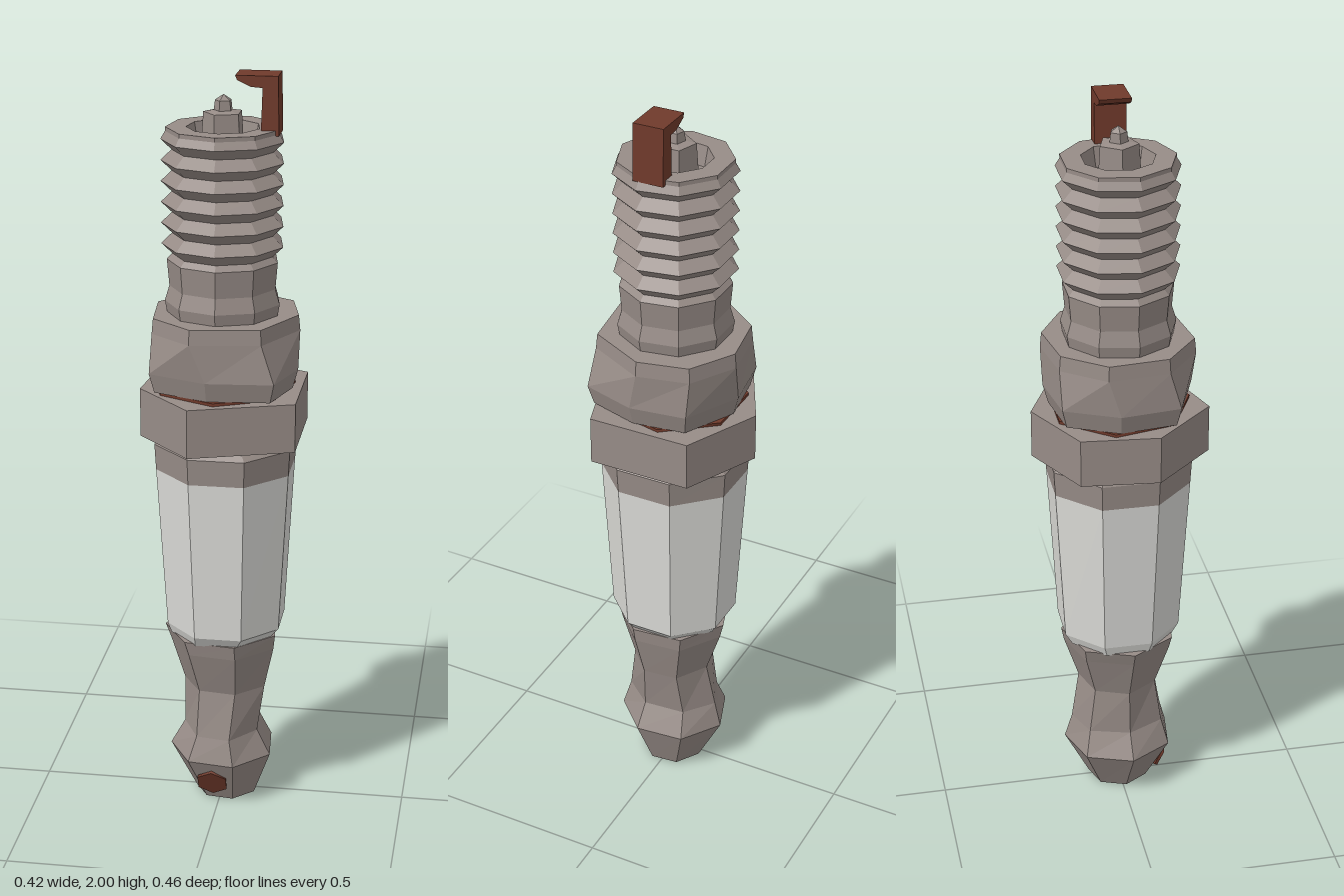
import * as THREE from 'three';

const metal = new THREE.MeshStandardMaterial({ color: 0x978c87 });
const ceramic = new THREE.MeshStandardMaterial({ color: 0xdcdcd8 });
const rust = new THREE.MeshStandardMaterial({ color: 0x703a2b });
metal.name = 'steel';
ceramic.name = 'ceramic';
rust.name = 'rust';

// Faceted skin over rings of [x, y, z] points, each running from +x towards +z
function skin(name, rings, material) {
  const pos = [];
  for (let j = 0; j < rings.length - 1; j++) {
    const lo = rings[j], hi = rings[j + 1], n = lo.length;
    for (let i = 0; i < n; i++) {
      const k = (i + 1) % n;
      pos.push(...lo[i], ...hi[i], ...lo[k], ...lo[k], ...hi[i], ...hi[k]);
    }
  }
  const geo = new THREE.BufferGeometry();
  geo.setAttribute('position', new THREE.Float32BufferAttribute(pos, 3));
  geo.computeVertexNormals();
  const mesh = new THREE.Mesh(geo, material);
  mesh.name = name;
  return mesh;
}

// One polygon ring: height, radii, centre and turn in degrees
function ring(n, y, rx, rz = rx, cx = 0, cz = 0, turn = 0) {
  return Array.from({ length: n }, (_, i) => {
    const a = (i / n) * Math.PI * 2 + (turn * Math.PI) / 180;
    return [cx + rx * Math.cos(a), y, cz + rz * Math.sin(a)];
  });
}

const lathe = (name, n, turn, rows, material) =>
  skin(name, rows.map(([y, rx, rz, cx, cz]) => ring(n, y, rx, rz, cx, cz, turn)), material);

// Capped prism from an outline that may change between heights
function prism(name, levels, material) {
  const rings = levels.map(([y, outline, s]) => outline.map(([x, z]) => [x * s, y, z * s]));
  const close = (r) => r.map((p) => [0, p[1], 0]);
  return skin(name, [close(rings[0]), ...rings, close(rings[rings.length - 1])], material);
}

export function createModel() {
  const group = new THREE.Group();

  // Terminal bulb and neck
  group.add(lathe('terminal', 7, 20, [
    [0, 0, 0], [0, 0.085, 0.085, 0.01, 0], [0.13, 0.145, 0.152], [0.2, 0.106, 0.132],
    [0.33, 0.115, 0.11, 0.01], [0.45, 0.148, 0.15, 0.005], [0.49, 0.158, 0.158], [0.49, 0, 0],
  ], metal));

  // Rust on the terminal: a thin spot underneath and a patch at the front
  const spot = new THREE.Mesh(new THREE.CylinderGeometry(0.05, 0.05, 0.004, 7), rust);
  spot.name = 'terminalRustSpot';
  spot.position.set(0.01, 0.001, 0);
  const patch = new THREE.Mesh(new THREE.CylinderGeometry(0.045, 0.045, 0.008, 6), rust);
  patch.name = 'terminalRustPatch';
  patch.position.set(-0.015, 0.062, 0.108);
  patch.rotation.x = Math.PI / 2 + 0.45;
  group.add(spot, patch);

  // Ceramic insulator with its metal collar
  group.add(lathe('insulator', 8, 22.5, [
    [0.485, 0, 0], [0.485, 0.145, 0.15], [0.515, 0.163, 0.17, 0.008], [0.96, 0.19, 0.196, 0.007],
  ], ceramic));
  group.add(lathe('insulatorCollar', 8, 22.5, [
    [0.96, 0.19, 0.196, 0.007], [1.03, 0.194, 0.2, 0.007], [1.06, 0.17, 0.17], [1.06, 0, 0],
  ], metal));

  // Uneven hexagonal nut
  const nut = [[0.207, 0.14], [-0.06, 0.23], [-0.21, 0.07], [-0.19, -0.135], [0, -0.232], [0.207, -0.137]];
  group.add(prism('hexNut', [[1.05, nut, 1], [1.18, nut, 1]], metal));

  // Thin rusty seam above the nut
  const seam = new THREE.Mesh(new THREE.CylinderGeometry(0.19, 0.19, 0.008, 7), rust);
  seam.name = 'rustSeam';
  seam.position.y = 1.184;
  group.add(seam);

  // Shell collar
  const low = [[0.2, 0.03], [0.155, 0.175], [-0.02, 0.19], [-0.175, 0.13], [-0.195, -0.03], [-0.13, -0.17], [0.03, -0.195], [0.18, -0.12]];
  const top = [[0.2, 0.01], [0.12, 0.165], [-0.06, 0.19], [-0.17, 0.1], [-0.185, -0.06], [-0.1, -0.17], [0.05, -0.195], [0.17, -0.125]];
  group.add(prism('shellCollar', [[1.188, low, 0.93], [1.24, low, 1], [1.34, top, 1.01], [1.38, top, 0.99]], metal));

  // Threaded barrel ending in a hollow mouth
  const rows = [[1.37, 0.145], [1.41, 0.152], [1.45, 0.14], [1.52, 0.146]];
  const ridges = 6, pitch = 0.054;
  for (let i = 0; i < ridges; i++) {
    rows.push([1.535 + i * pitch, 0.132], [1.535 + (i + 0.5) * pitch, 0.16]);
  }
  rows.push([1.852, 0.148], [1.863, 0.148], [1.863, 0.095], [1.81, 0.085], [1.81, 0]);
  group.add(lathe('threadedBarrel', 9, 10, rows, metal));

  // Centre electrode in the mouth
  group.add(lathe('centreElectrode', 5, 36, [
    [1.81, 0.058], [1.9, 0.052], [1.905, 0.025], [1.93, 0.022], [1.945, 0],
  ], metal));

  // Bent side electrode
  const bend = new THREE.Shape([
    [0.1, 1.85], [0.146, 1.85], [0.143, 2], [0.035, 2], [0.04, 1.988], [0.075, 1.972], [0.104, 1.97],
  ].map(([x, y]) => new THREE.Vector2(x, y)));
  const strap = new THREE.Mesh(new THREE.ExtrudeGeometry(bend, { depth: 0.082, bevelEnabled: false }), rust);
  strap.name = 'sideElectrode';
  strap.position.z = -0.041;
  group.add(strap);

  return group;
}
